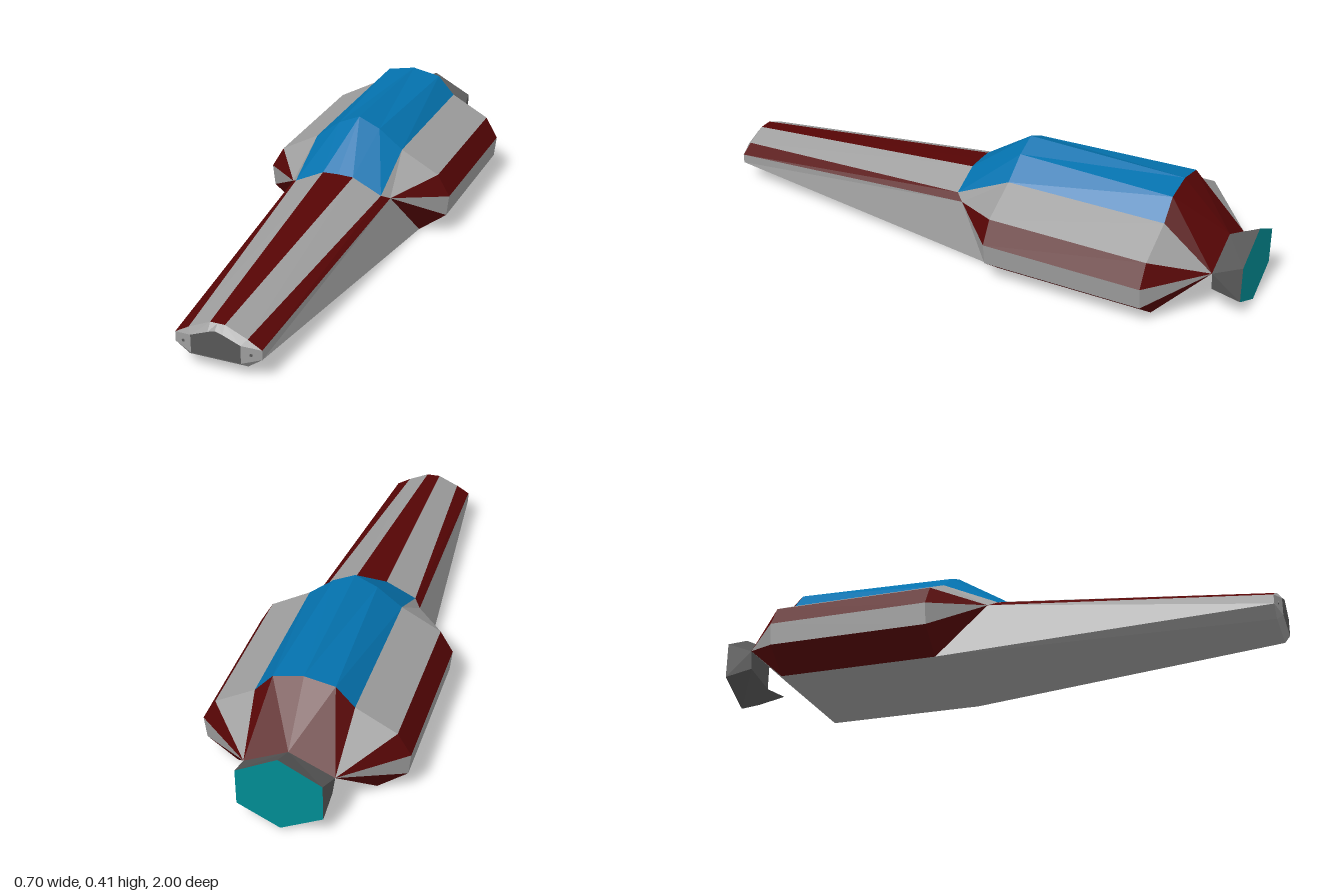
import * as THREE from 'three';

const mat = (name, color) => {
  const m = new THREE.MeshStandardMaterial({ color, flatShading: true });
  m.name = name;
  return m;
};

// Builds a mirrored set of flat panels from half-side polygons, each turned to face away from the hull axis
function panels(name, material, polys) {
  const pos = [];
  const v = a => new THREE.Vector3(...a);
  for (const side of [1, -1]) {
    for (const poly of polys) {
      const p = poly.map(a => v([a[0] * side, a[1], a[2]]));
      for (let i = 1; i < p.length - 1; i++) {
        const t = [p[0], p[i], p[i + 1]];
        const c = t[0].clone().add(t[1]).add(t[2]).divideScalar(3);
        const axis = new THREE.Vector3(0, 0.12, THREE.MathUtils.clamp(c.z, -0.93, 0.9));
        const n = t[1].clone().sub(t[0]).cross(t[2].clone().sub(t[0]));
        if (n.dot(c.sub(axis)) < 0) t.reverse();
        t.forEach(q => pos.push(q.x, q.y, q.z));
      }
    }
  }
  const g = new THREE.BufferGeometry();
  g.setAttribute('position', new THREE.Float32BufferAttribute(pos, 3));
  g.computeVertexNormals();
  const mesh = new THREE.Mesh(g, material);
  mesh.name = name;
  return mesh;
}

export function createModel() {
  const grey = mat('light grey', 0x9e9e9e);
  const dark = mat('dark grey', 0x575757);
  const red = mat('dark red', 0x560505);
  const blue = mat('canopy blue', 0x0472ae);
  const teal = mat('engine teal', 0x008c93);

  const group = new THREE.Group();
  group.name = 'spacecraft';
  const add = (...args) => group.add(panels(...args));

  // Half cross-section of the body, from the bottom edge up to the canopy edge
  const section = [[0.237, 0], [0.339, 0.077], [0.348, 0.153], [0.303, 0.23], [0.165, 0.305]];
  const front = section.map(([x, y]) => [x, y, -0.16]);
  const back = section.map(([x, y]) => [x, y, -0.73]);
  const frontApex = [0.187, 0.192, 0.01];
  const backApex = [0.15, 0.155, -0.9];

  // Neck sections: at the canopy and at the nose
  const n0 = [0, 0.264, 0.04], n1 = [0.057, 0.262, 0.04], n2 = [0.163, 0.21, 0.04];
  const fold = [0.219, 0.068, -0.1];
  const f0 = [0, 0.172, 0.98], f1 = [0.025, 0.172, 0.98], f2 = [0.1, 0.138, 0.98];
  const f3 = [0.148, 0.11, 0.98], f4 = [0.148, 0.077, 0.98], f5 = [0.1, 0.043, 0.98];

  // Body bands, each running to a point at both ends
  for (let i = 0; i < 4; i++) {
    const polys = [
      [front[i], front[i + 1], back[i + 1], back[i]],
      [back[i], back[i + 1], backApex],
    ];
    polys.push(i < 3
      ? [frontApex, front[i], front[i + 1]]
      : [frontApex, front[3], front[4], n2]);
    add(`bodyBand${i + 1}`, i % 2 ? grey : red, polys);
  }

  // Canopy
  const cf1 = [0.078, 0.372, -0.16], cf0 = [0, 0.407, -0.16];
  const cb1 = [0.103, 0.373, -0.73], cb0 = [0, 0.393, -0.73];
  add('canopy', blue, [
    [front[4], cf1, cb1, back[4]],
    [cf1, cf0, cb0, cb1],
    [n2, n1, cf1, front[4]],
    [n1, n0, cf0, cf1],
  ]);

  // Tail cover behind the canopy
  const tailTop = [0, 0.225, -0.9];
  add('tailCover', red, [[cb0, cb1, tailTop], [cb1, back[4], backApex, tailTop]]);

  // Neck stripes and panels
  add('neckStripes', red, [[n0, n1, f1, f0], [n2, frontApex, f3, f2]]);
  add('neckPanels', grey, [
    [n1, n2, f2, f1],
    [frontApex, fold, f4, f3],
    [front[0], f5, f4, fold],
  ]);

  // Belly, in the same grey as the hull
  const mid = ([, y, z]) => [0, y, z];
  add('belly', grey, [
    [f5, mid(f5), mid(front[0]), front[0]],
    [front[0], mid(front[0]), mid(back[0]), back[0]],
    [back[0], mid(back[0]), mid(backApex), backApex],
  ]);

  // Nose bevel and tip
  const t0 = [0, 0.155, 1], t1 = [0.025, 0.147, 1], t2 = [0.085, 0.123, 1];
  const t3 = [0.085, 0.06, 1], t4 = [0, 0.06, 1];
  add('noseBevel', grey, [
    [f0, f1, t1, t0], [f1, f2, t2, t1], [f2, f3, t2],
    [f3, f4, t3, t2], [f4, f5, t3], [f5, mid(f5), t4, t3],
  ]);
  add('noseTip', dark, [[t0, t1, t2, t3, t4]]);

  // Small nose ports
  for (const s of [1, -1]) {
    const port = new THREE.Mesh(new THREE.CylinderGeometry(0.005, 0.005, 0.01, 8), dark);
    port.name = 'nosePort';
    port.rotation.x = Math.PI / 2;
    port.position.set(s * 0.115, 0.092, 0.987);
    group.add(port);
  }

  // Flared six-sided engine nozzle with a glowing end
  const inner = [tailTop, backApex, [0.14, 0.09, -0.9], [0, 0.066, -0.9]];
  const outer = [[0, 0.275, -1], [0.141, 0.2, -1], [0.141, 0.07, -1], [0, 0, -1]];
  add('nozzle', dark, [
    ...[0, 1, 2].map(i => [inner[i], inner[i + 1], outer[i + 1], outer[i]]),
    inner,
  ]);
  add('engineGlow', teal, [outer]);

  return group;
}
